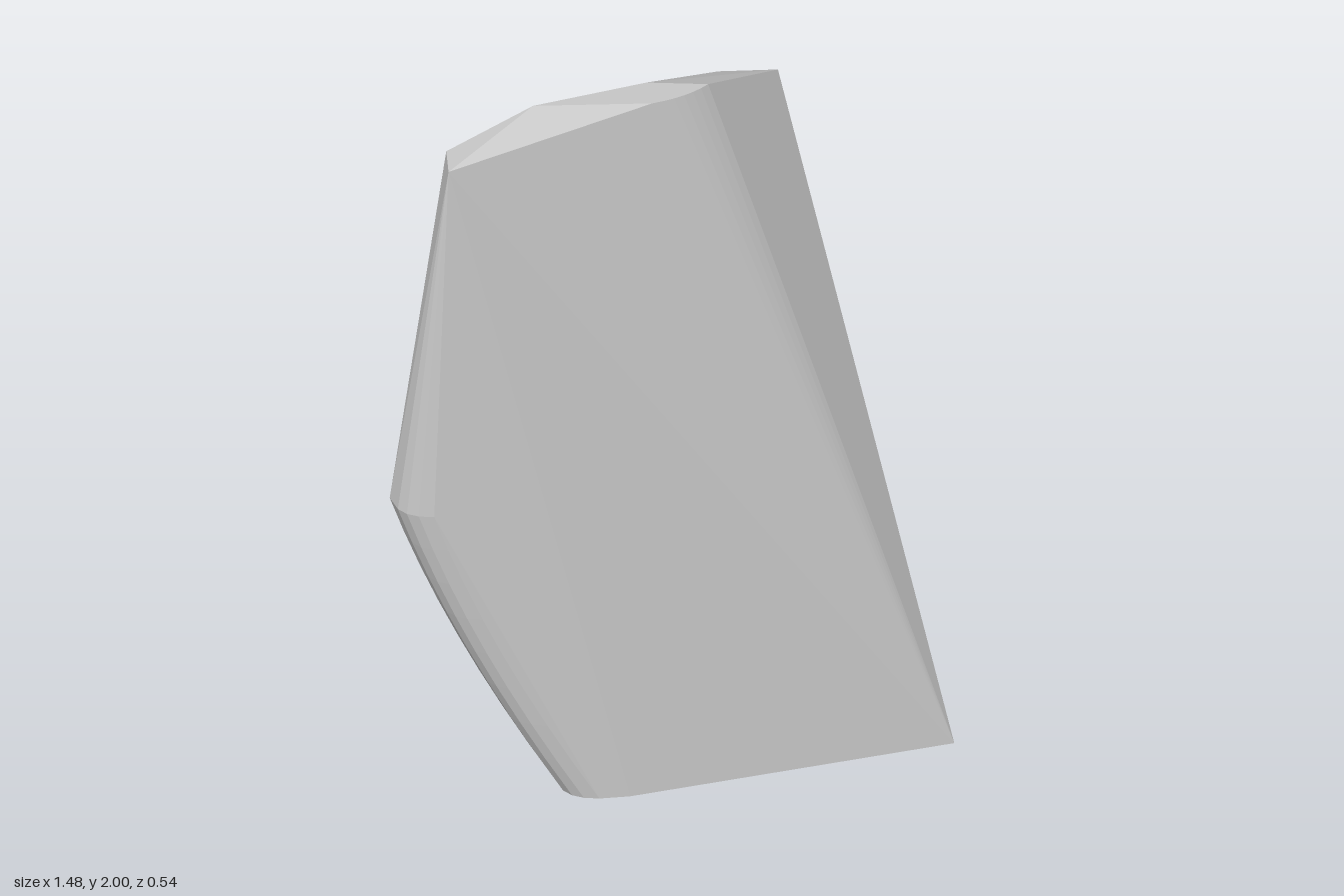
import * as THREE from 'three';
import { ConvexGeometry } from 'three/addons/geometries/ConvexGeometry.js';

const vec = p => new THREE.Vector3(...p);

// Points along a curve bent from a to b by the control point c
const bend = (a, c, b, steps) =>
  new THREE.QuadraticBezierCurve3(vec(a), vec(c), vec(b)).getPoints(steps);

export function createModel() {
  const group = new THREE.Group();
  group.name = 'facetedBlock';
  const grey = new THREE.MeshStandardMaterial({ color: 0xc7c7c7 });
  grey.name = 'grey';

  // Flat crown with a rounded front corner, and its sloping shoulder
  const crown = [
    ...[[-0.36, 2, 0.04], [-0.06, 2, -0.055], [-0.59, 1.92, 0.22], [-0.59, 1.92, 0.12]].map(vec),
    ...bend([-0.05, 2, 0.046], [0.045, 2, 0.02], [0.1, 2, -0.038], 6),
  ];

  // Flat back with a curved inner edge
  const back = [
    ...[[0.295, 1.89, -0.27], [0.485, 1.02, -0.27]].map(vec),
    ...bend([0.14, 1.89, -0.27], [0.15, 1.35, -0.27], [0.33, 1.02, -0.27], 8),
  ];

  // Rounded edge sweeping from the side corner down to the foot
  const rim = [[0.025, 0.122], [0.005, 0.145], [0, 0.17], [0.018, 0.225], [0.04, 0.25], [0.07, 0.264], [0.11, 0.27]];
  const edge = bend([-0.74, 0.89, 0], [-0.6, 0.47, -0.006], [-0.31, 0, -0.012], 8)
    .flatMap(p => rim.map(([x, z]) => new THREE.Vector3(p.x + x, p.y, p.z + z)));

  // Foot
  const foot = [[0.735, 0, 0.045], [0.32, 0, 0.055], [-0.12, 0, 0.252]].map(vec);

  const block = new THREE.Mesh(new ConvexGeometry([...crown, ...back, ...edge, ...foot]), grey);
  block.name = 'block';
  group.add(block);
  return group;
}
